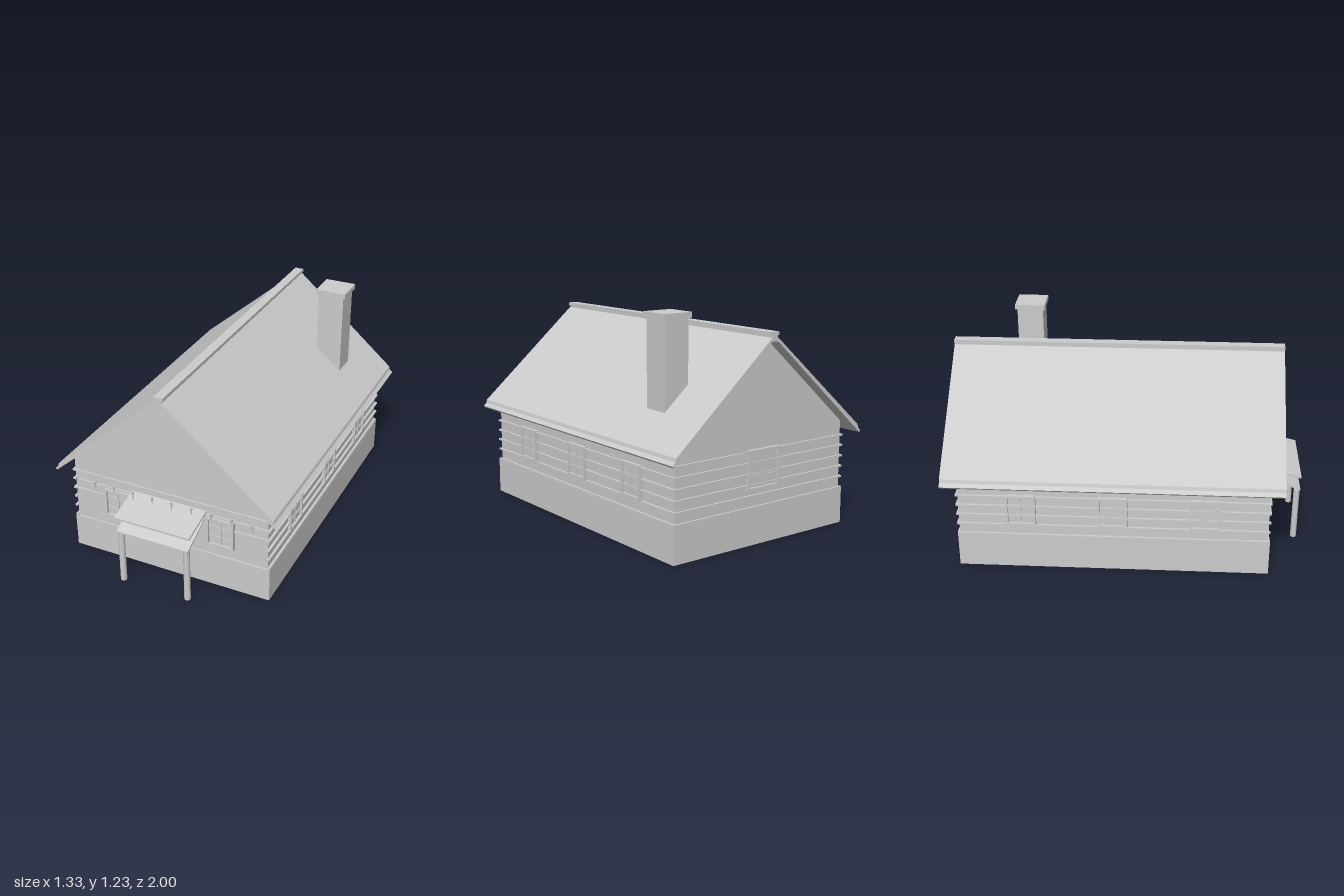
import * as THREE from 'three';

const grey = new THREE.MeshStandardMaterial({ color: 0xcccccc });
grey.name = 'plain grey';

function add(parent, name, geometry, x = 0, y = 0, z = 0) {
  const mesh = new THREE.Mesh(geometry, grey);
  mesh.name = name;
  mesh.position.set(x, y, z);
  parent.add(mesh);
  return mesh;
}

// Box given by its lower and upper limits
function block(parent, name, x0, x1, y0, y1, z0, z1) {
  return add(parent, name, new THREE.BoxGeometry(x1 - x0, y1 - y0, z1 - z0),
    (x0 + x1) / 2, (y0 + y1) / 2, (z0 + z1) / 2);
}

// Outline in x and y, pushed from z0 to z1
function prism(parent, name, points, z0, z1) {
  const shape = new THREE.Shape(points.map(([x, y]) => new THREE.Vector2(x, y)));
  const geometry = new THREE.ExtrudeGeometry(shape, { depth: z1 - z0, bevelEnabled: false });
  return add(parent, name, geometry, 0, 0, z0);
}

// Framed window facing +z, centred on its own origin
function makeWindow(w, h) {
  const g = new THREE.Group();
  g.name = 'window';
  const t = 0.012, a = w / 2, b = h / 2;
  block(g, 'windowPane', -a + t, a - t, -b + t, b - t, 0, 0.006);
  for (const s of [-1, 1]) {
    add(g, 'frameSide', new THREE.BoxGeometry(t, h, 0.02), s * (a - t / 2), 0, 0.01);
    add(g, 'frameRail', new THREE.BoxGeometry(w - 2 * t, t, 0.02), 0, s * (b - t / 2), 0.01);
  }
  block(g, 'mullion', -0.004, 0.004, -b + t, b - t, 0, 0.012);
  for (const y of [-h / 6, h / 6]) block(g, 'glazingBar', -a + t, a - t, y - 0.003, y + 0.003, 0, 0.011);
  return g;
}

// Sloping thin slab of the porch, from the wall to the front edge
function porchSlab(parent, name, halfWidth, yBack, yFront) {
  const zBack = 0.8, zFront = 1, t = 0.012;
  const points = [[zBack, yBack - t], [zFront, yFront - t], [zFront, yFront], [zBack, yBack]];
  const mesh = prism(parent, name, points.map(([z, y]) => [-z, y]).reverse(), -halfWidth, halfWidth);
  mesh.rotation.y = Math.PI / 2;
  mesh.position.set(-halfWidth, 0, 0);
}

export function createModel() {
  const house = new THREE.Group();
  house.name = 'house';

  // Plinth and gabled walls
  block(house, 'plinth', -0.6, 0.6, 0, 0.2, -0.93, 0.81);
  prism(house, 'walls', [[-0.585, 0.2], [0.585, 0.2], [0.585, 0.595], [0.02, 1.09], [-0.02, 1.09], [-0.585, 0.595]], -0.92, 0.8);

  // Roof with stepped eaves, and its ridge cap
  const half = [[0.02, 1.085], [0.655, 0.525], [0.663, 0.535], [0.645, 0.553], [0.64, 0.572], [0.02, 1.105]];
  const mirror = half.map(([x, y]) => [-x, y]).reverse();
  prism(house, 'roof', [...half, ...mirror], -1, 0.875);
  block(house, 'ridgeNeck', -0.018, 0.018, 1.09, 1.118, -1, 0.875);
  block(house, 'ridgeCap', -0.027, 0.027, 1.116, 1.135, -1, 0.875);

  // Horizontal battens on the walls
  const rows = [0.205, 0.268, 0.328, 0.387, 0.447, 0.505];
  rows.forEach((y, i) => {
    const y0 = y - 0.005, y1 = y + 0.005;
    for (const s of [-1, 1]) {
      add(house, 'sideBatten', new THREE.BoxGeometry(0.015, 0.01, 1.74), s * 0.5915, y, -0.06);
    }
    block(house, 'backBatten', -0.595, 0.595, y0, y1, -0.932, -0.92);
    if (i === 5) block(house, 'frontBatten', -0.595, 0.595, y0, y1, 0.8, 0.81);
    if (i === 3 || i === 4) {
      for (const s of [-1, 1]) add(house, 'frontBatten', new THREE.BoxGeometry(0.375, 0.01, 0.01), s * 0.4075, y, 0.805);
    }
  });

  // Windows on all four sides
  const place = (w, h, x, y, z, turn) => {
    const win = makeWindow(w, h);
    win.position.set(x, y, z);
    win.rotation.y = turn;
    house.add(win);
  };
  for (const s of [-1, 1]) {
    place(0.16, 0.175, s * 0.312, 0.353, 0.8, 0);
    for (const z of [0.45, -0.06, -0.57]) place(0.165, 0.185, s * 0.585, 0.365, z, s * Math.PI / 2);
  }
  place(0.22, 0.215, 0, 0.41, -0.92, Math.PI);

  // Chimney
  block(house, 'chimney', 0.312, 0.465, 0.715, 1.2, -0.685, -0.533);
  block(house, 'chimneyCap', 0.298, 0.478, 1.2, 1.23, -0.697, -0.521);

  // Door and its frame
  block(house, 'doorFrame', -0.1, 0.1, 0.2, 0.34, 0.8, 0.814);
  block(house, 'door', -0.092, 0.09, 0.01, 0.335, 0.8, 0.822);

  // Porch: two sloping slabs on round posts
  const porch = new THREE.Group();
  porch.name = 'porch';
  porchSlab(porch, 'upperPorchRoof', 0.225, 0.466, 0.416);
  porchSlab(porch, 'lowerPorchRoof', 0.215, 0.418, 0.33);
  for (const s of [-1, 1]) {
    add(porch, 'porchPost', new THREE.CylinderGeometry(0.018, 0.018, 0.318, 12), s * 0.197, 0.159, 0.981);
  }
  house.add(porch);

  // Icicles below the front edge of the roof
  for (let i = 0; i < 10; i++) {
    const length = i % 2 ? 0.058 : 0.046;
    const cone = add(house, 'icicle', new THREE.ConeGeometry(0.007, length, 6), -0.528 + i * 0.1173, 0.517 - length / 2, 0.876);
    cone.rotation.x = Math.PI;
  }
  return house;
}
